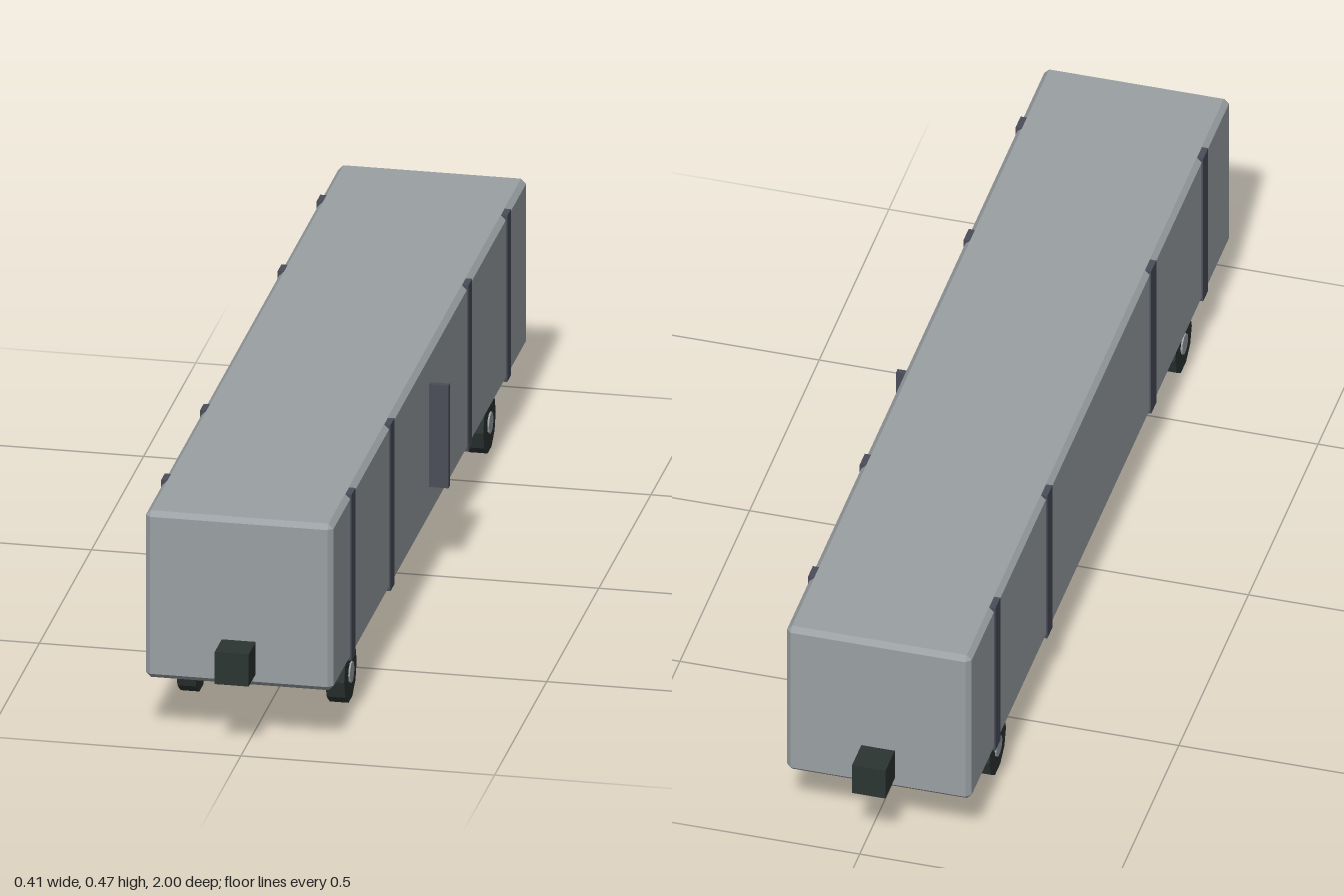
import * as THREE from 'three';
import { ConvexGeometry } from 'three/addons/geometries/ConvexGeometry.js';

const material = (name, color) => {
  const m = new THREE.MeshStandardMaterial({ color, flatShading: true });
  m.name = name;
  return m;
};

// Box with a single flat bevel on every edge
function chamferBox(w, h, d, c) {
  const half = [w / 2, h / 2, d / 2];
  const points = [];
  for (const sx of [-1, 1]) for (const sy of [-1, 1]) for (const sz of [-1, 1]) {
    for (let axis = 0; axis < 3; axis++) {
      const p = half.map((v, i) => (i === axis ? v : v - c));
      points.push(new THREE.Vector3(p[0] * sx, p[1] * sy, p[2] * sz));
    }
  }
  return new ConvexGeometry(points);
}

export function createModel() {
  const model = new THREE.Group();
  model.name = 'railCar';
  const bodyGrey = material('bodyGrey', 0x9aa0a3);
  const slate = material('slateTrim', 0x4a4d59);
  const dark = material('darkMetal', 0x2c3533);

  const add = (name, geometry, mat, x, y, z, parent = model) => {
    const mesh = new THREE.Mesh(geometry, mat);
    mesh.name = name;
    mesh.position.set(x, y, z);
    parent.add(mesh);
    return mesh;
  };

  const cx = -0.018; // centre line of the car body
  const cy = 0.292;

  // Long bevelled body
  add('body', chamferBox(0.37, 0.346, 1.866, 0.01), bodyGrey, cx, cy, 0);

  // Reinforcing bands, flush with roof and floor
  const bandGeometry = new THREE.BoxGeometry(0.376, 0.345, 0.036);
  for (const z of [-0.746, -0.373, 0.373, 0.746]) {
    add('band', bandGeometry, slate, cx, cy, z);
  }

  // Upright plate on the left side
  add('sidePlate', new THREE.BoxGeometry(0.045, 0.213, 0.012), slate, 0.1825, 0.2925, 0);

  // Couplers at both ends
  const couplerGeometry = new THREE.BoxGeometry(0.067, 0.067, 0.08);
  for (const s of [-1, 1]) add('coupler', couplerGeometry, dark, cx, 0.1785, s * 0.96);

  // Ten-sided wheels with protruding hubs, flats at top and bottom
  const wheelGeometry = new THREE.CylinderGeometry(0.06, 0.06, 0.037, 10).rotateZ(Math.PI / 2);
  const hubGeometry = new THREE.CylinderGeometry(0.0215, 0.0215, 0.044, 10).rotateZ(Math.PI / 2);
  for (const sx of [-1, 1]) for (const sz of [-1, 1]) {
    const wheel = new THREE.Group();
    wheel.name = 'wheel';
    wheel.position.set(cx + sx * 0.147, 0.057, sz * 0.667);
    add('tyre', wheelGeometry, dark, 0, 0, 0, wheel);
    add('hub', hubGeometry, bodyGrey, 0, 0, 0, wheel);
    model.add(wheel);
  }
  return model;
}
